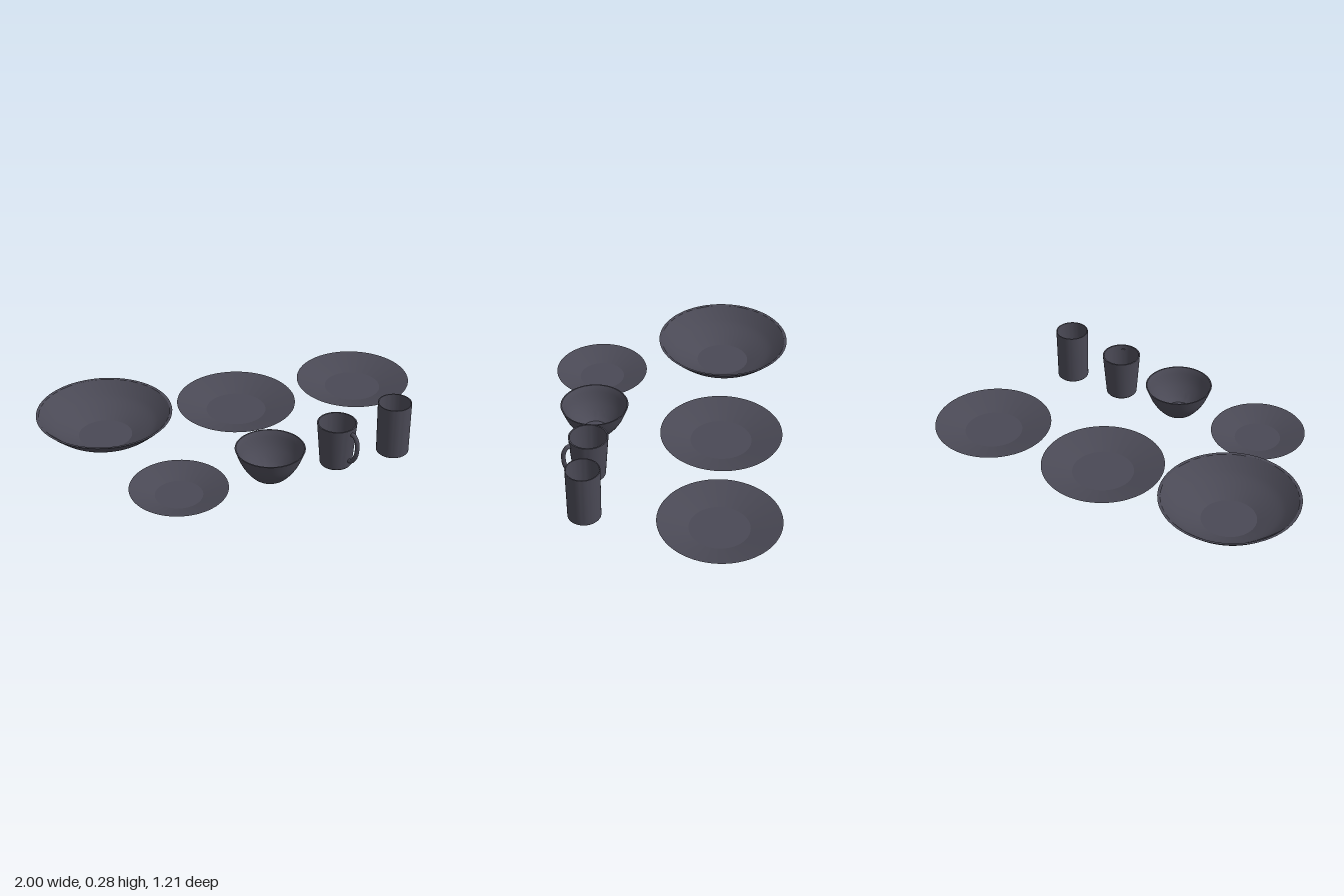
import * as THREE from 'three';
import { toCreasedNormals } from 'three/addons/utils/BufferGeometryUtils.js';

const glaze = new THREE.MeshStandardMaterial({ color: 0x4a4955 });
glaze.name = 'charcoal glaze';

const v = (p) => new THREE.Vector2(p[0], p[1]);

// Smooth profile through a few points
const smooth = (pts, n = 14) =>
  new THREE.SplineCurve(pts.map(v)).getPoints(n).map((p) => [p.x, p.y]);

// Turned vessel: outer wall from foot to rim, then the inner wall back to the floor
function vessel(name, x, z, outer, t, inner) {
  const last = outer.length - 1;
  inner ??= outer.map(([r, y], i) => [r - t, i === last ? y : Math.min(y + t, outer[last][1])]).reverse();
  const floor = inner[inner.length - 1][1];
  const profile = [[0, 0], ...outer, ...inner, [0, floor]].map(v);
  const geo = toCreasedNormals(new THREE.LatheGeometry(profile, 64), 0.27);
  const mesh = new THREE.Mesh(geo, glaze);
  mesh.name = name;
  mesh.position.set(x, 0, z);
  return mesh;
}

export function createModel() {
  const model = new THREE.Group();
  model.name = 'tableware';

  // Flat plates: x, z, rim radius, foot radius, height
  const plates = [
    ['dinnerPlate', 0.043, -0.27, 0.305, 0.158, 0.052],
    ['lunchPlate', 0.703, -0.27, 0.295, 0.15, 0.051],
    ['sidePlate', -0.483, 0.367, 0.237, 0.12, 0.046],
  ];
  for (const [name, x, z, r, foot, h] of plates) {
    model.add(vessel(name, x, z, [[foot, 0], [r, h]], 0.005));
  }

  // Bowls
  model.add(vessel('servingBowl', -0.66, -0.27,
    smooth([[0.14, 0], [0.24, 0.052], [0.288, 0.088], [0.34, 0.138]]), 0.006));
  model.add(vessel('bowl', -0.02, 0.367,
    smooth([[0.07, 0], [0.09, 0.016], [0.118, 0.05], [0.143, 0.092], [0.17, 0.16]]), 0.006));

  // Tumbler with a rounded inner floor
  model.add(vessel('tumbler', 0.633, 0.367,
    [[0.076, 0], [0.08, 0.004], [0.083, 0.275]], 0.005,
    [[0.078, 0.275], [0.075, 0.075],
      ...smooth([[0.074, 0.06], [0.066, 0.036], [0.045, 0.016], [0.02, 0.008], [0.004, 0.006]])]));

  // Mug with a looped handle turned towards the front
  const mug = new THREE.Group();
  mug.name = 'mug';
  mug.position.set(0.327, 0, 0.367);
  mug.add(vessel('mugBody', 0, 0,
    [[0.074, 0], [0.079, 0.006], [0.097, 0.228]], 0.008,
    [[0.09, 0.228], [0.078, 0.02], [0.074, 0.012]]));
  const path = new THREE.CatmullRomCurve3(
    [[0.084, 0.197], [0.106, 0.198], [0.126, 0.172], [0.13, 0.13], [0.122, 0.085], [0.1, 0.05], [0.074, 0.042]]
      .map(([r, y]) => new THREE.Vector3(r, y, 0)));
  const handle = new THREE.Mesh(new THREE.TubeGeometry(path, 32, 0.011, 12), glaze);
  handle.name = 'mugHandle';
  handle.rotation.y = -Math.atan2(0.115, 0.055);
  mug.add(handle);
  model.add(mug);

  return model;
}
